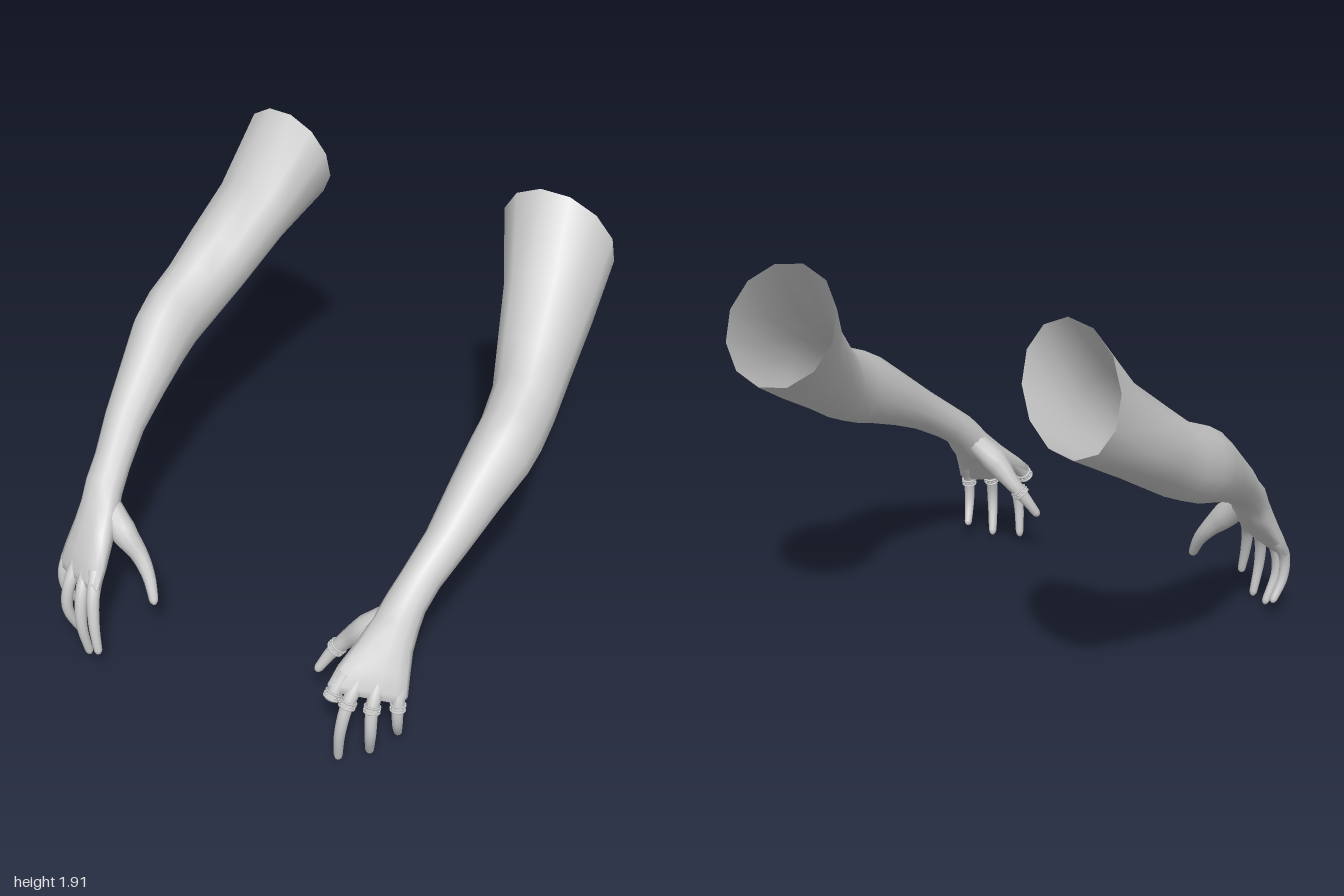
import * as THREE from 'three';

const V3 = (x, y, z) => new THREE.Vector3(x, y, z);
const skin = new THREE.MeshStandardMaterial({ color: 0xcccccc, side: THREE.DoubleSide });
const metal = new THREE.MeshStandardMaterial({ color: 0xcccccc });

// Joins equal-sized rings of points into a skin; s = -1 mirrors it across x.
function loft(rings, s, capEnd) {
  const n = rings[0].length, pos = [], index = [];
  const tri = (a, b, c) => (s > 0 ? index.push(a, b, c) : index.push(a, c, b));
  rings.forEach(r => r.forEach(p => pos.push(p.x * s, p.y, p.z)));
  for (let j = 0; j < rings.length - 1; j++)
    for (let i = 0; i < n; i++) {
      const k = (i + 1) % n, a = j * n + i, b = j * n + k;
      tri(a, b, b + n);
      tri(a, b + n, a + n);
    }
  if (capEnd) {
    const last = rings[rings.length - 1], c = V3(0, 0, 0);
    last.forEach(p => c.addScaledVector(p, 1 / n));
    pos.push(c.x * s, c.y, c.z);
    const o = (rings.length - 1) * n;
    for (let i = 0; i < n; i++) tri(o + n, o + i, o + (i + 1) % n);
  }
  const g = new THREE.BufferGeometry();
  g.setAttribute('position', new THREE.Float32BufferAttribute(pos, 3));
  g.setIndex(index);
  g.computeVertexNormals();
  return g;
}

// Arm sections: top z, top y, bottom z, bottom y, inner x, outer x, outer-side y and z shift, roundness
const ARM = [
  [-0.82, 1.91, -0.97, 1.40, 0.44, 0.93, -0.03, -0.05, 1],
  [-0.60, 1.62, -0.75, 1.265, 0.555, 0.95, -0.02, -0.03, 1],
  [-0.40, 1.45, -0.50, 1.115, 0.635, 0.975, 0, -0.01, 1],
  [-0.27, 1.345, -0.33, 1.01, 0.69, 0.99, 0, 0, 1],
  [-0.12, 1.28, -0.20, 0.95, 0.715, 1.0, 0, 0, 1],
  [0.00, 1.21, -0.10, 0.915, 0.715, 0.995, 0, 0, 1],
  [0.15, 1.09, 0.08, 0.845, 0.715, 0.955, 0, 0, 1],
  [0.35, 0.93, 0.27, 0.76, 0.715, 0.91, 0, 0, 1],
  [0.50, 0.81, 0.43, 0.665, 0.69, 0.865, 0, 0, 1],
  [0.60, 0.73, 0.52, 0.60, 0.67, 0.85, 0, 0, 0.95],
  [0.665, 0.645, 0.565, 0.535, 0.65, 0.845, 0, -0.01, 0.9],
  [0.735, 0.555, 0.64, 0.475, 0.622, 0.85, 0, -0.03, 0.85],
  [0.80, 0.465, 0.725, 0.405, 0.59, 0.868, -0.01, -0.055, 0.8],
  [0.845, 0.39, 0.785, 0.34, 0.578, 0.882, -0.02, -0.07, 0.75],
  [0.845, 0.352, 0.81, 0.325, 0.60, 0.87, -0.02, -0.06, 0.75],
];

function armRings() {
  const soft = (v, e) => Math.sign(v) * Math.abs(v) ** e;
  return ARM.map(([tz, ty, bz, by, xi, xo, dy, dz, e]) => {
    const ring = [];
    for (let i = 0; i < 12; i++) {
      const a = (i + 0.5) / 12 * Math.PI * 2;
      const c = soft(Math.cos(a), e), q = soft(Math.sin(a), e);
      ring.push(V3((xi + xo) / 2 + c * (xo - xi) / 2,
        (ty + by) / 2 + q * (ty - by) / 2 + c * dy,
        (tz + bz) / 2 + q * (tz - bz) / 2 + c * dz));
    }
    return ring;
  });
}

// Digits: centre line, radii from root to tip, place of the ring along the digit
const DIGITS = {
  thumb: { path: [[0.72, 0.62, 0.59], [0.62, 0.52, 0.63], [0.535, 0.43, 0.635], [0.47, 0.345, 0.66], [0.415, 0.24, 0.705]],
    radii: [0.05, 0.062, 0.04, 0.029, 0.019], ring: 0.68 },
  indexFinger: { path: [[0.63, 0.43, 0.825], [0.605, 0.34, 0.895], [0.58, 0.22, 0.935], [0.55, 0.08, 0.955]],
    radii: [0.036, 0.029, 0.025, 0.018], ring: 0.31 },
  middleFinger: { path: [[0.69, 0.42, 0.80], [0.675, 0.32, 0.885], [0.66, 0.18, 0.92], [0.64, 0.0, 0.9]],
    radii: [0.036, 0.029, 0.025, 0.018], ring: 0.33 },
  ringFinger: { path: [[0.76, 0.41, 0.77], [0.77, 0.31, 0.845], [0.775, 0.18, 0.865], [0.743, 0.02, 0.812]],
    radii: [0.036, 0.028, 0.025, 0.018], ring: 0.34 },
  littleFinger: { path: [[0.835, 0.41, 0.715], [0.852, 0.31, 0.772], [0.85, 0.2, 0.77], [0.825, 0.09, 0.715]],
    radii: [0.032, 0.026, 0.023, 0.017], ring: 0.36 },
};

function sampler({ path, radii }) {
  const curve = new THREE.CatmullRomCurve3(path.map(p => V3(...p)));
  const radius = t => {
    const f = t * (radii.length - 1), i = Math.min(Math.floor(f), radii.length - 2);
    return THREE.MathUtils.lerp(radii[i], radii[i + 1], f - i);
  };
  return { curve, radius };
}

function digitRings(digit, end) {
  const { curve, radius } = sampler(digit), rings = [];
  const add = (t, scale) => {
    const p = curve.getPoint(t), d = curve.getTangent(t), r = radius(t) * scale;
    const b = d.clone().cross(V3(1, 0, 0)).normalize(), a = b.clone().cross(d);
    const ring = [];
    for (let i = 0; i < 10; i++) {
      const w = i / 10 * Math.PI * 2;
      ring.push(p.clone().addScaledVector(a, r * Math.cos(w)).addScaledVector(b, r * Math.sin(w)));
    }
    rings.push(ring);
  };
  const steps = 12, stop = end < 1 ? end : 0.95;
  for (let i = 0; i <= steps; i++) add(i / steps * stop, 1);
  // rounded tip
  if (end === 1) [[0.975, 0.85], [0.992, 0.55], [1, 0.2]].forEach(q => add(...q));
  return rings;
}

// Studded jewellery band with two raised rims
function studdedRing(r) {
  const g = new THREE.Group();
  const add = (geo, z, x = 0, y = 0) => {
    const m = new THREE.Mesh(geo, metal);
    m.position.set(x, y, z);
    g.add(m);
  };
  add(new THREE.CylinderGeometry(r, r, 0.024, 20).rotateX(Math.PI / 2), 0);
  for (const z of [-0.013, 0.013]) add(new THREE.TorusGeometry(r, 0.0045, 6, 24), z);
  const stud = new THREE.SphereGeometry(0.0055, 8, 6);
  for (let i = 0; i < 10; i++) {
    const a = i / 10 * Math.PI * 2;
    add(stud, 0, r * Math.cos(a), r * Math.sin(a));
  }
  return g;
}

function buildArm(s) {
  const arm = new THREE.Group(), left = s > 0;
  arm.name = left ? 'leftArm' : 'rightArm';
  const limb = new THREE.Mesh(loft(armRings(), s, true), skin);
  limb.name = 'armAndPalm';
  arm.add(limb);
  for (const [name, digit] of Object.entries(DIGITS)) {
    // the left index finger is a short stub
    const end = left && name === 'indexFinger' ? 0.37 : 1;
    const mesh = new THREE.Mesh(loft(digitRings(digit, end), s, true), skin);
    mesh.name = name;
    arm.add(mesh);
    if (!left) continue;
    const { curve, radius } = sampler(digit);
    const ring = studdedRing(radius(digit.ring) + 0.005);
    ring.name = name + 'Band';
    ring.position.copy(curve.getPoint(digit.ring));
    ring.quaternion.setFromUnitVectors(V3(0, 0, 1), curve.getTangent(digit.ring));
    arm.add(ring);
  }
  return arm;
}

export function createModel() {
  const model = new THREE.Group();
  model.name = 'pairOfArms';
  model.add(buildArm(1), buildArm(-1));
  return model;
}
